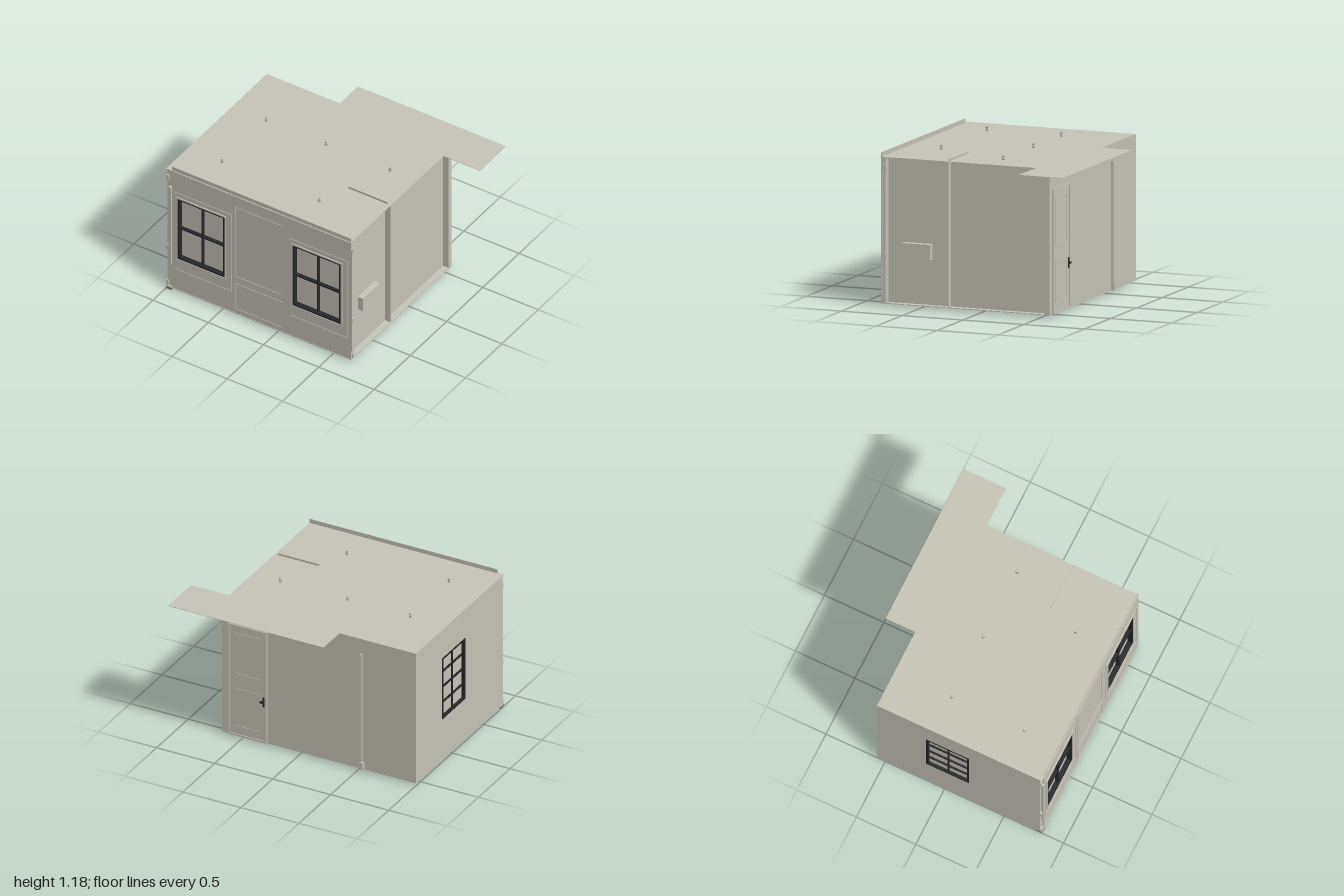
import * as THREE from 'three';

export function createModel() {
  const root = new THREE.Group();
  root.name = 'roomBlock';
  const material = (name, color) => {
    const m = new THREE.MeshStandardMaterial({ color });
    m.name = name;
    return m;
  };
  const plaster = material('plaster', 0xc8c4b8);
  const black = material('blackFrame', 0x26272a);
  const grey = material('greyFoot', 0x8c8a85);

  const add = (name, geometry, mat, parent) => {
    const mesh = new THREE.Mesh(geometry, mat);
    mesh.name = name;
    parent.add(mesh);
    return mesh;
  };
  // Box given by its minimum and maximum corners
  const box = (name, x0, x1, y0, y1, z0, z1, mat = plaster, parent = root) => {
    const mesh = add(name, new THREE.BoxGeometry(x1 - x0, y1 - y0, z1 - z0), mat, parent);
    mesh.position.set((x0 + x1) / 2, (y0 + y1) / 2, (z0 + z1) / 2);
    return mesh;
  };
  const loop = (Type, x0, x1, y0, y1) => {
    const p = new Type();
    p.moveTo(x0, y0);
    p.lineTo(x1, y0);
    p.lineTo(x1, y1);
    p.lineTo(x0, y1);
    p.closePath();
    return p;
  };
  // Upright slab with rectangular holes, its back face at z
  const slab = (name, rect, holes, z, depth, mat = plaster, parent = root) => {
    const shape = loop(THREE.Shape, ...rect);
    holes.forEach((h) => shape.holes.push(loop(THREE.Path, ...h)));
    const geometry = new THREE.ExtrudeGeometry(shape, { depth, bevelEnabled: false });
    const mesh = add(name, geometry, mat, parent);
    mesh.position.z = z;
    return mesh;
  };
  // Thin raised rectangular outline
  const moulding = (name, [x0, x1, y0, y1], z, depth, w = 0.008, parent = root) =>
    slab(name, [x0, x1, y0, y1], [[x0 + w, x1 - w, y0 + w, y1 - w]], z, depth, plaster, parent);

  // Frame, glazing bars and pane filling a wall opening
  const windowUnit = (name, [x0, x1, y0, y1], z, depth, cols, rows, parent) => {
    const g = new THREE.Group();
    g.name = name;
    parent.add(g);
    const w = 0.016;
    slab('windowFrame', [x0, x1, y0, y1], [[x0 + w, x1 - w, y0 + w, y1 - w]], z, depth, black, g);
    const bar = 0.006;
    for (let i = 1; i < cols; i++) {
      const x = x0 + ((x1 - x0) * i) / cols;
      box('verticalBar', x - bar, x + bar, y0 + w, y1 - w, z + 0.006, z + depth - 0.012, black, g);
    }
    for (let i = 1; i < rows; i++) {
      const y = y0 + ((y1 - y0) * i) / rows;
      box('horizontalBar', x0 + w, x1 - w, y - bar, y + bar, z + 0.005, z + depth - 0.01, black, g);
    }
    box('pane', x0, x1, y0, y1, z, z + 0.004, plaster, g);
  };

  // Floor and roof; the roof carries an offset canopy at the back
  box('floor', -1, 0.67, 0.02, 0.026, -0.57, 0.815);
  const outline = [[-1, -0.82], [0.67, -0.82], [0.67, 0.46], [1, 0.46],
    [1, 0.82], [-0.34, 0.82], [-0.34, 0.57], [-1, 0.57]];
  const roofShape = new THREE.Shape(outline.map(([x, y]) => new THREE.Vector2(x, y)));
  const roof = add('roof', new THREE.ExtrudeGeometry(roofShape, { depth: 0.003, bevelEnabled: false }), plaster, root);
  roof.rotation.x = -Math.PI / 2;
  roof.position.y = 1.143;

  // Front wall with two openings, standing slightly above the roof
  const openings = [[-0.91, -0.46, 0.31, 0.91], [0.13, 0.59, 0.31, 0.91]];
  slab('frontWall', [-0.95, 0.67, 0.02, 1.145], openings, 0.775, 0.037);
  box('frontParapet', -0.95, 0.67, 1.145, 1.18, 0.808, 0.812);
  openings.forEach(([x0, x1, y0, y1]) => {
    windowUnit('frontWindow', [x0 + 0.01, x1 - 0.01, y0 + 0.01, y1 - 0.01], 0.77, 0.045, 2, 2, root);
    moulding('windowCasing', [x0, x1, y0, y1], 0.812, 0.008, 0.012);
    moulding('windowSurround', [x0 - 0.02, x1 + 0.05, y0 - 0.1, y1 + 0.04], 0.812, 0.004);
  });
  moulding('upperWallPanel', [-0.38, 0.05, 0.37, 1.04], 0.812, 0.004);
  moulding('lowerWallPanel', [-0.38, 0.05, 0.06, 0.31], 0.812, 0.004);

  // Left-hand corner post, its trim and foot
  box('cornerPost', -1, -0.95, 0.02, 1.143, 0.76, 0.8);
  box('postTrim', -0.977, -0.956, 0.24, 0.98, 0.8, 0.82);
  box('cornerFoot', -1, -0.95, 0, 0.02, 0.77, 0.82, grey);
  for (const y of [0.05, 0.39, 1.06]) {
    box('postBracket', -1, -0.98, y - 0.022, y + 0.022, 0.8, 0.812);
    box('cornerBracket', 0.67, 0.68, y - 0.018, y + 0.018, 0.768, 0.8);
  }
  box('cornerRail', 0.67, 0.676, 0.1, 1.07, 0.803, 0.812);

  // Side wall with a barred window, drawn flat and turned to face -x
  const side = new THREE.Group();
  side.name = 'windowSideWall';
  side.rotation.y = -Math.PI / 2;
  side.position.x = -0.97;
  root.add(side);
  const sideOpening = [-0.155, 0.205, 0.37, 0.9];
  slab('sideWall', [-0.57, 0.8, 0.02, 1.143], [sideOpening], 0, 0.03, plaster, side);
  windowUnit('sideWindow', sideOpening, 0.004, 0.028, 2, 4, side);

  // Opposite side wall, set back from the floor and roof edge
  box('recessedSideWall', 0.6, 0.62, 0.02, 1.143, -0.55, 0.79);
  box('wallFin', 0.29, 0.668, 0.02, 1.143, 0.258, 0.268);
  box('finTop', 0.29, 0.64, 1.14, 1.163, 0.258, 0.267);
  box('wallBox', 0.62, 0.668, 0.375, 0.495, 0.41, 0.645);

  // Back wall, conduit and its junction box
  box('backWall', -0.99, 0.67, 0.02, 1.143, -0.57, -0.53);
  box('conduit', -0.54, -0.525, 0.02, 1.02, -0.588, -0.57);
  box('junctionBox', -0.555, -0.525, 0.03, 0.085, -0.595, -0.57);

  // Door with two panels and a handle
  const door = new THREE.Group();
  door.name = 'door';
  root.add(door);
  moulding('doorFrame', [0.28, 0.615, 0.02, 0.98], -0.58, 0.01, 0.014, door);
  box('doorLeaf', 0.294, 0.601, 0.034, 0.966, -0.573, -0.565, plaster, door);
  moulding('upperDoorPanel', [0.34, 0.56, 0.55, 0.91], -0.577, 0.004, 0.008, door);
  moulding('lowerDoorPanel', [0.34, 0.56, 0.1, 0.43], -0.577, 0.004, 0.008, door);
  box('handlePlate', 0.303, 0.319, 0.33, 0.41, -0.579, -0.572, black, door);
  box('handle', 0.303, 0.335, 0.365, 0.38, -0.595, -0.579, black, door);

  // Flared roof studs
  const studProfile = [[0, 0], [0.012, 0], [0.007, 0.012], [0.007, 0.025], [0.012, 0.03], [0.012, 0.035], [0, 0.035]]
    .map(([x, y]) => new THREE.Vector2(x, y));
  const studGeometry = new THREE.LatheGeometry(studProfile, 12);
  for (const [x, z] of [[-0.69, -0.09], [-0.15, -0.09], [0.43, -0.09], [-0.69, 0.52], [0.19, 0.52]]) {
    add('roofStud', studGeometry, plaster, root).position.set(x, 1.145, z);
  }
  return root;
}
